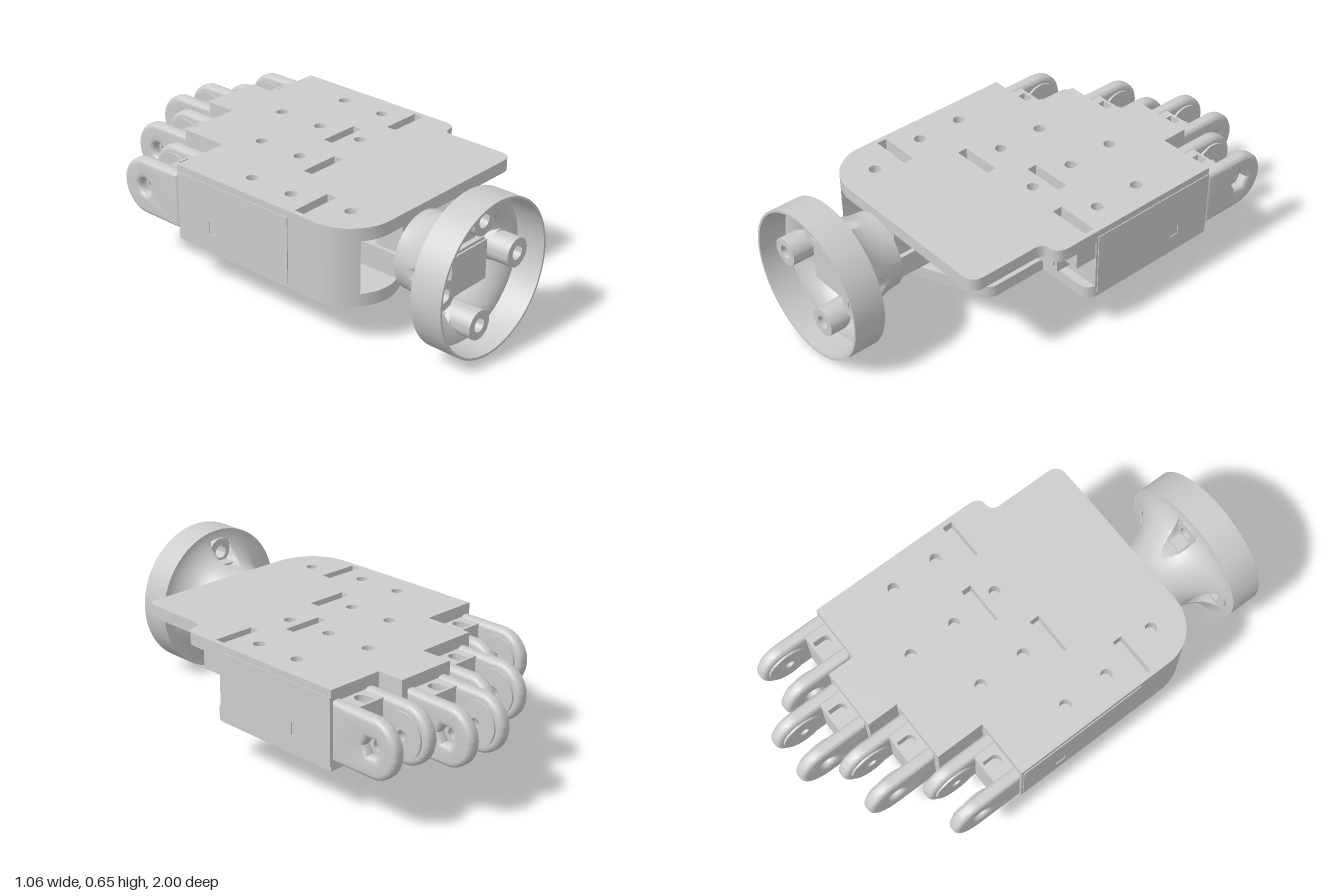
import * as THREE from 'three';
import { toCreasedNormals } from 'three/addons/utils/BufferGeometryUtils.js';

const material = new THREE.MeshStandardMaterial({ color: 0xcccccc, side: THREE.DoubleSide });

function add(parent, name, geometry, x = 0, y = 0, z = 0) {
  const mesh = new THREE.Mesh(toCreasedNormals(geometry, 0.6), material);
  mesh.name = name;
  mesh.position.set(x, y, z);
  parent.add(mesh);
  return mesh;
}
const box = (w, h, d) => new THREE.BoxGeometry(w, h, d);

// Closed hole outlines
function polyHole(x, y, r, sides, turn = 0) {
  const pts = [];
  for (let i = 0; i < sides; i++) {
    const a = turn + (i / sides) * Math.PI * 2;
    pts.push(new THREE.Vector2(x + r * Math.cos(a), y + r * Math.sin(a)));
  }
  return new THREE.Path(pts);
}
function rectHole(x, y, w, h) {
  return new THREE.Path([[-1, -1], [1, -1], [1, 1], [-1, 1]]
    .map(([a, b]) => new THREE.Vector2(x + a * w / 2, y + b * h / 2)));
}

// Horizontal slab from an outline in (x, z), hanging down from its top
function slab(shape, thickness) {
  return new THREE.ExtrudeGeometry(shape, { depth: thickness, bevelEnabled: false, curveSegments: 12 })
    .rotateX(Math.PI / 2);
}

// Stepped finger edge shared by both plates and the body
function steppedShape() {
  const s = new THREE.Shape();
  s.moveTo(-0.53, -0.31);
  [[-0.275, -0.31], [-0.275, -0.53], [0, -0.53], [0, -0.67], [0.27, -0.67], [0.27, -0.55], [0.525, -0.55]]
    .forEach(p => s.lineTo(...p));
  return s;
}

function palm(group) {
  // Top cover with slots and screw holes
  const top = steppedShape();
  top.lineTo(0.525, 0.22);
  top.quadraticCurveTo(0.525, 0.285, 0.48, 0.285);
  top.quadraticCurveTo(0.44, 0.285, 0.44, 0.33);
  top.lineTo(0.44, 0.58);
  top.quadraticCurveTo(0.44, 0.64, 0.38, 0.64);
  top.lineTo(-0.33, 0.64);
  top.absarc(-0.33, 0.44, 0.2, Math.PI / 2, Math.PI, false);
  top.closePath();
  [[-0.415, 0.34], [-0.14, 0.13], [0.135, -0.01], [0.41, 0.1]]
    .forEach(([x, z]) => top.holes.push(rectHole(x, z, 0.185, 0.045)));
  [[-0.415, 0], [-0.415, 0.21], [-0.14, -0.215], [-0.14, 0], [0.135, -0.36], [0.135, -0.14],
    [0.41, -0.245], [0.41, -0.03], [-0.37, 0.48], [0.145, 0.075]]
    .forEach(([x, z]) => top.holes.push(polyHole(x, z, 0.025, 20)));
  add(group, 'topCover', slab(top, 0.055), 0, 0.515, 0);

  // Bottom plate, cut away beside the thumb bay
  const bottom = steppedShape();
  bottom.lineTo(0.525, 0.06);
  bottom.quadraticCurveTo(0.525, 0.12, 0.465, 0.12);
  bottom.lineTo(0.26, 0.12);
  bottom.lineTo(0.26, 0.36);
  bottom.quadraticCurveTo(0.26, 0.41, 0.2, 0.43);
  bottom.lineTo(-0.25, 0.62);
  bottom.quadraticCurveTo(-0.3, 0.64, -0.33, 0.64);
  bottom.absarc(-0.33, 0.44, 0.2, Math.PI / 2, Math.PI, false);
  bottom.closePath();
  [[0.145, 0.075], [-0.18, 0.24], [-0.22, 0.42], [-0.39, 0.46]]
    .forEach(([x, z]) => bottom.holes.push(rectHole(x, z, 0.05, 0.05)));
  add(group, 'bottomPlate', slab(bottom, 0.055), 0, 0.235, 0);

  // Body between the plates, with the outer wall running to the rounded corner
  const body = steppedShape();
  [[0.525, 0.08], [0.28, 0.08], [0.28, 0.03], [-0.45, 0.03], [-0.45, 0.6]].forEach(p => body.lineTo(...p));
  body.absarc(-0.33, 0.44, 0.2, Math.PI * 0.705, Math.PI, false);
  body.closePath();
  add(group, 'body', slab(body, 0.225), 0, 0.46, 0);

  // Side panels with a small square window
  for (const [x, z0, z1] of [[0.525, -0.55, 0.07], [-0.53, -0.3, 0.3]]) {
    const p = new THREE.Shape([[-z0, 0.2], [-z1, 0.2], [-z1, 0.485], [-z0, 0.485]]
      .map(q => new THREE.Vector2(...q)));
    p.holes.push(rectHole(-z0 - 0.19, 0.29, 0.045, 0.05));
    add(group, 'sidePanel',
      new THREE.ExtrudeGeometry(p, { depth: 0.008, bevelEnabled: false }).rotateY(Math.PI / 2), x - 0.004);
  }

  // Open bay: guide blocks, screw heads and a standing tab
  add(group, 'guideBlock', box(0.2, 0.13, 0.14), 0.34, 0.395, 0.14);
  add(group, 'guideBlock', box(0.1, 0.08, 0.12), 0.47, 0.42, 0.12);
  add(group, 'standingTab', box(0.04, 0.1, 0.03), 0.275, 0.285, 0.1);
  for (const [x, y, r] of [[0.295, 0.375, 0.025], [0.415, 0.37, 0.015]])
    add(group, 'screwHead', new THREE.CylinderGeometry(r, r, 0.02, 20).rotateX(Math.PI / 2), x, y, 0.212);
  add(group, 'roller', new THREE.CylinderGeometry(0.022, 0.022, 0.03, 20).rotateX(Math.PI / 2), 0.41, 0.315, 0.09);

  // Thumb mount under the cover
  add(group, 'thumbMount', box(0.24, 0.1, 0.6), -0.147, 0.285, 0.34);
  for (const z of [0.13, 0.36, 0.57])
    add(group, 'mountLug', box(0.2, 0.13, 0.13), -0.147, 0.395, z);
}

// Forked knuckle pointing to -z from its root
function knuckle(x, z) {
  const g = new THREE.Group();
  g.name = 'knuckle';
  const reach = 0.205, r = 0.125;
  for (const side of [-1, 1]) {
    const s = new THREE.Shape();
    s.moveTo(0, -r);
    s.lineTo(reach, -r);
    s.absarc(reach, 0, r, -Math.PI / 2, Math.PI / 2, false);
    s.lineTo(0, r);
    s.closePath();
    s.holes.push(side > 0 ? polyHole(reach, 0, 0.042, 6) : polyHole(reach, 0, 0.034, 20));
    const geo = new THREE.ExtrudeGeometry(s, {
      depth: 0.016, bevelThickness: 0.021, bevelSize: 0.021, bevelOffset: -0.021, bevelSegments: 4, curveSegments: 20,
    }).rotateY(Math.PI / 2);
    add(g, 'prong', geo, side * 0.088 - 0.008);
    // Inner washer face around the pin hole
    const w = new THREE.Shape().absarc(reach, 0, 0.095, 0, Math.PI * 2, false);
    w.holes.push(polyHole(reach, 0, 0.022, 20));
    add(g, 'washer', new THREE.ExtrudeGeometry(w, { depth: 0.025, bevelEnabled: false, curveSegments: 20 })
      .rotateY(Math.PI / 2), side * 0.0625 - 0.0125);
  }
  // Root block with an arched tendon slot on top
  add(g, 'root', box(0.15, 0.19, 0.1), 0, -0.03, -0.05);
  const cap = new THREE.Shape([[-0.075, -0.1], [0.075, -0.1], [0.075, 0], [-0.075, 0]]
    .map(p => new THREE.Vector2(...p)));
  const slot = new THREE.Path();
  slot.moveTo(-0.026, -0.088);
  slot.lineTo(0.026, -0.088);
  slot.lineTo(0.026, -0.042);
  slot.absarc(0, -0.042, 0.026, 0, Math.PI, false);
  slot.closePath();
  cap.holes.push(slot);
  add(g, 'tendonSlot', slab(cap, 0.055), 0, 0.118, 0);
  g.position.set(x, 0.345, z);
  return g;
}

// Flared wrist cup with four screw posts and access channels cut in its outside
function wristCup() {
  const g = new THREE.Group();
  g.name = 'wristCup';
  const postR = 0.225, profile = [], steps = 20, CUT = 0.851;
  const outer = [], inner = [];
  for (let i = 0; i <= steps; i++) {
    const a = (i / steps) * Math.PI / 2;
    outer.push([0.325 - 0.16 * Math.cos(a), 0.65 + 0.21 * Math.sin(a)]);
    inner.push([0.315 - 0.155 * Math.cos(a), 0.67 + 0.205 * Math.sin(a)]);
  }
  profile.push([0.0001, 0.65], ...outer, [0.325, 1], [0.315, 1], ...inner.reverse(), [0.0001, 0.67]);
  const geo = new THREE.LatheGeometry(profile.map(p => new THREE.Vector2(...p)), 144).rotateX(Math.PI / 2);
  const pos = geo.attributes.position, rows = profile.length;
  // Tangential offset and distance along the nearest post direction
  const local = (x, y) => Math.abs(x) > Math.abs(y) ? [Math.abs(x), y] : [Math.abs(y), x];
  for (let i = 0; i < pos.count; i++) {
    const x = pos.getX(i), y = pos.getY(i);
    const [d, t] = local(x, y);
    const c = (i % rows) <= steps + 1 ? 0.05 : 0.062;
    if (pos.getZ(i) > CUT || Math.abs(t) >= c) continue;
    const floor = postR - Math.sqrt(c * c - t * t);
    if (d > floor) {
      if (Math.abs(x) > Math.abs(y)) pos.setX(i, Math.sign(x) * floor);
      else pos.setY(i, Math.sign(y) * floor);
    }
  }
  // Open the ledge behind each post bore
  const kept = [], idx = geo.index.array;
  for (let i = 0; i < idx.length; i += 3) {
    const v = [idx[i], idx[i + 1], idx[i + 2]];
    const mean = f => (f(v[0]) + f(v[1]) + f(v[2])) / 3;
    const [d, t] = local(mean(k => pos.getX(k)), mean(k => pos.getY(k)));
    const zs = v.map(k => pos.getZ(k));
    const ledge = Math.max(...zs) > CUT && Math.min(...zs) <= CUT;
    if (!(ledge && Math.abs(t) < 0.05 && d > 0.16 && d < 0.29)) kept.push(...v);
  }
  geo.setIndex(kept);
  add(g, 'cupShell', geo);

  for (let i = 0; i < 4; i++) {
    const a = i * Math.PI / 2;
    const ring = new THREE.Shape().absarc(0, 0, 0.062, 0, Math.PI * 2, false);
    ring.holes.push(polyHole(0, 0, 0.03, 24));
    add(g, 'screwPost', new THREE.ExtrudeGeometry(ring, { depth: 0.095, bevelEnabled: false, curveSegments: 24 }),
      postR * Math.cos(a), postR * Math.sin(a), 0.845);
  }
  // Core block with its stem rising to the top post
  add(g, 'coreBlock', box(0.214, 0.17, 0.23), 0, 0, 0.765);
  add(g, 'coreTop', box(0.2, 0.014, 0.215), 0, 0.09, 0.765);
  add(g, 'stem', new THREE.CylinderGeometry(0.022, 0.022, 0.05, 16), 0, 0.115, 0.82);
  add(g, 'stemHead', box(0.088, 0.07, 0.08), 0, 0.15, 0.83);
  add(g, 'neck', box(0.2, 0.14, 0.06), 0, -0.02, 0.64);
  g.position.set(-0.147, 0.325, 0);
  return g;
}

export function createModel() {
  const group = new THREE.Group();
  group.name = 'mechanicalPalm';
  palm(group);
  [[-0.415, -0.31], [-0.14, -0.53], [0.135, -0.67], [0.41, -0.55]]
    .forEach(([x, z]) => group.add(knuckle(x, z)));
  group.add(wristCup());
  return group;
}
